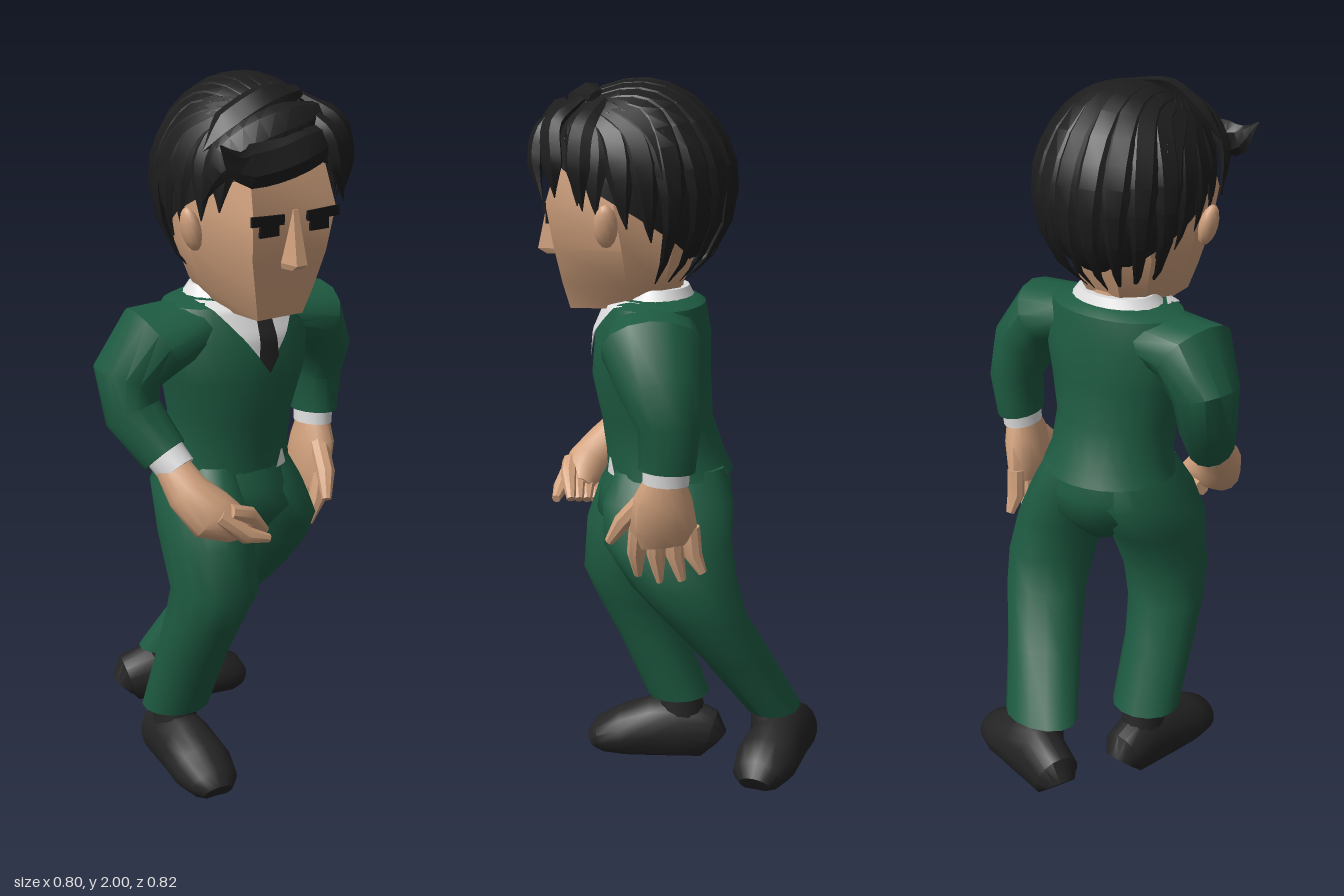
import * as THREE from 'three';
import { toCreasedNormals } from 'three/addons/utils/BufferGeometryUtils.js';

const V = (x, y, z) => new THREE.Vector3(x, y, z);
const mat = (name, color, side = THREE.FrontSide) => {
  const m = new THREE.MeshStandardMaterial({ color, side });
  m.name = name;
  return m;
};

// Skin rings of points (wound x to z, running downwards) into a surface
function skinRings(rings, crease = 0.7, caps = true) {
  const n = rings[0].length, pos = [], idx = [];
  rings.forEach(r => r.forEach(p => pos.push(p.x, p.y, p.z)));
  for (let i = 0; i < rings.length - 1; i++) {
    for (let j = 0; j < n; j++) {
      const a = i * n + j, b = i * n + (j + 1) % n;
      idx.push(a, b, a + n, b, b + n, a + n);
    }
  }
  if (caps) [0, rings.length - 1].forEach((row, end) => {
    const c = rings[row].reduce((s, p) => s.add(p), V(0, 0, 0)).divideScalar(n);
    const k = pos.length / 3;
    pos.push(c.x, c.y, c.z);
    for (let j = 0; j < n; j++) {
      const a = row * n + j, b = row * n + (j + 1) % n;
      end ? idx.push(k, a, b) : idx.push(k, b, a);
    }
  });
  const g = new THREE.BufferGeometry();
  g.setAttribute('position', new THREE.Float32BufferAttribute(pos, 3));
  g.setIndex(idx);
  return toCreasedNormals(g, crease);
}

// Rows are [x, y, z, radiusU, radiusV]; flat rows stay horizontal, others follow the path
function loft(rows, { n = 14, hint = () => V(0, 0, 1), flat = false, crease = 0.7 } = {}) {
  const c = rows.map(r => V(r[0], r[1], r[2]));
  return skinRings(rows.map((r, i) => {
    const t = flat ? V(0, -1, 0)
      : c[Math.min(i + 1, c.length - 1)].clone().sub(c[Math.max(i - 1, 0)]).normalize();
    const v = hint(c[i]);
    v.addScaledVector(t, -v.dot(t)).normalize();
    const u = v.clone().cross(t);
    return Array.from({ length: n }, (_, j) => {
      const a = j / n * Math.PI * 2;
      return c[i].clone().addScaledVector(u, Math.cos(a) * r[3]).addScaledVector(v, Math.sin(a) * r[4]);
    });
  }), crease);
}

const torsoRows = [
  [0, 1.42, 0.06, 0.13, 0.10], [0, 1.40, 0.065, 0.20, 0.135], [0, 1.32, 0.075, 0.235, 0.16],
  [0, 1.20, 0.08, 0.21, 0.165], [0, 1.08, 0.065, 0.178, 0.155], [0, 0.98, 0.042, 0.178, 0.165],
  [0, 0.925, 0.028, 0.195, 0.176]];

// Depth of the chest at a given x and y
function chestZ(x, y) {
  let i = 0;
  while (i < torsoRows.length - 2 && y < torsoRows[i + 1][1]) i++;
  const [a, b] = [torsoRows[i], torsoRows[i + 1]];
  const k = (a[1] - y) / (a[1] - b[1]), mix = q => a[q] + (b[q] - a[q]) * k;
  return mix(2) + mix(4) * Math.sqrt(Math.max(0, 1 - (x / mix(3)) ** 2));
}

// Thin cloth panel lying on the chest
function panel(top, bottom, xc, halfWidth, lift) {
  const g = new THREE.PlaneGeometry(1, 1, 8, 12), p = g.attributes.position;
  for (let i = 0; i < p.count; i++) {
    const t = 0.5 - p.getY(i), x = xc + p.getX(i) * 2 * halfWidth(t), y = top + (bottom - top) * t;
    p.setXYZ(i, x, y, chestZ(x, y) + lift);
  }
  g.computeVertexNormals();
  return g;
}

export function createModel() {
  const root = new THREE.Group();
  const green = mat('suitGreen', 0x1e5b42), skin = mat('skin', 0xd2a27e);
  const white = mat('shirtWhite', 0xdedede, THREE.DoubleSide), black = mat('shoeBlack', 0x242425);
  const hairMat = mat('hairBlack', 0x1d1d1e, THREE.DoubleSide), dark = mat('eyeDark', 0x17171a);
  const add = (name, geo, m, parent = root) => {
    const mesh = new THREE.Mesh(geo, m);
    mesh.name = name;
    parent.add(mesh);
    return mesh;
  };

  // Jacket, shirt front, tie
  add('jacket', loft(torsoRows, { n: 28, flat: true }), green);
  add('collar', loft([[0, 1.445, 0.06, 0.115, 0.085], [0, 1.395, 0.065, 0.155, 0.115]], { n: 20, flat: true }), white);
  add('shirtFront', panel(1.415, 1.235, 0, t => 0.14 * (1 - t), 0.007), white);
  add('tie', panel(1.4, 1.225, 0, t => t < 0.75 ? 0.022 + t * 0.012 : 0.124 * (1 - t), 0.014), black);
  add('shirtHem', panel(0.975, 0.927, 0.088, t => 0.004 + 0.02 * t, 0.006), white);

  // Trousers: hips blend into the tops of both legs
  add('hips', loft([[0, 0.96, 0.035, 0.17, 0.16], [0, 0.88, 0.04, 0.195, 0.185],
    [0.01, 0.81, 0.05, 0.19, 0.185], [0.015, 0.75, 0.055, 0.12, 0.13], [0.02, 0.70, 0.05, 0.05, 0.07]],
  { n: 20, flat: true, crease: 1.2 }), green);
  add('rightTrouserLeg', loft([[-0.085, 0.95, 0.045, 0.085, 0.14], [-0.10, 0.86, 0.06, 0.115, 0.178],
    [-0.112, 0.75, 0.11, 0.122, 0.165],
    [-0.11, 0.60, 0.155, 0.122, 0.13], [-0.13, 0.50, 0.13, 0.11, 0.115], [-0.142, 0.38, 0.085, 0.103, 0.10],
    [-0.148, 0.19, 0.01, 0.10, 0.092]], { flat: true, crease: 1 }), green);
  add('leftTrouserLeg', loft([[0.085, 0.95, 0.025, 0.085, 0.15], [0.105, 0.86, 0.03, 0.115, 0.185],
    [0.145, 0.75, 0.03, 0.13, 0.18], [0.168, 0.64, -0.015, 0.12, 0.15], [0.155, 0.54, -0.07, 0.118, 0.12],
    [0.095, 0.40, -0.16, 0.112, 0.10], [0.025, 0.225, -0.265, 0.115, 0.082]], { flat: true, crease: 1 }), green);

  // Shoes: heel to toe, with the sole flattened
  const shoe = (name, x, y, z, turn, ankleX, ankleZ) => {
    const group = new THREE.Group();
    group.name = name;
    const rows = [[-0.183, 0.08, 0.045], [-0.165, 0.13, 0.068], [-0.08, 0.175, 0.075], [0, 0.165, 0.083],
      [0.09, 0.13, 0.09], [0.16, 0.09, 0.073], [0.185, 0.05, 0.045]];
    const g = loft(rows.map(([d, h, w]) => [0, h * 0.4, d, w, h * 0.6]), { n: 16, hint: () => V(0, 1, 0) });
    const p = g.attributes.position;
    for (let i = 0; i < p.count; i++) p.setY(i, Math.max(0, p.getY(i)));
    add('shoeUpper', toCreasedNormals(g, 0.7), black, group);
    add('ankle', loft([[ankleX, 0.215, ankleZ, 0.055, 0.055], [ankleX * 0.6, 0.08, ankleZ, 0.065, 0.085]],
      { flat: true }), black, group);
    group.position.set(x, y, z);
    group.rotation.y = turn;
    root.add(group);
  };
  shoe('rightShoe', -0.155, 0, 0.083, -0.1, 0, -0.08);
  shoe('leftShoe', 0.065, 0.045, -0.28, 1.2, -0.035, -0.035);

  // Sleeves and cuffs
  add('leftSleeve', loft([[0.13, 1.34, 0.07, 0.07, 0.12], [0.25, 1.315, 0.07, 0.10, 0.135],
    [0.312, 1.22, 0.045, 0.087, 0.11], [0.328, 1.12, 0.02, 0.072, 0.085], [0.322, 1.005, 0.027, 0.06, 0.077]]), green);
  add('rightSleeve', loft([[-0.13, 1.34, 0.07, 0.07, 0.12], [-0.25, 1.315, 0.07, 0.10, 0.135],
    [-0.315, 1.22, 0.04, 0.087, 0.105], [-0.31, 1.12, 0.06, 0.078, 0.085], [-0.265, 1.015, 0.145, 0.065, 0.072]]), green);
  add('leftCuff', loft([[0.322, 1.03, 0.027, 0.05, 0.065], [0.318, 0.968, 0.03, 0.05, 0.063]]), white);
  add('rightCuff', loft([[-0.27, 1.03, 0.14, 0.055, 0.06], [-0.25, 0.98, 0.185, 0.052, 0.058]]), white);

  // Hands: palm plus tapering fingers
  const finger = (name, a, b, c, r) => add(name, loft([[...a, r, r], [...b, r, r], [...c, r * 0.5, r * 0.5]], { n: 8 }), skin);
  add('leftPalm', loft([[0.32, 0.99, 0.03, 0.042, 0.05], [0.312, 0.92, 0.038, 0.05, 0.08],
    [0.298, 0.84, 0.038, 0.045, 0.092], [0.288, 0.79, 0.03, 0.026, 0.085]]), skin);
  [0.07, 0.022, -0.025, -0.07].forEach((d, i) => finger('leftFinger', [0.294, 0.84, 0.035 + d],
    [0.284 - d * 0.1, 0.76, 0.035 + d * 1.1], [0.272 - d * 0.3, [0.69, 0.675, 0.685, 0.71][i], 0.02 + d * 1.25], 0.025));
  finger('leftThumb', [0.30, 0.92, 0.085], [0.28, 0.85, 0.145], [0.255, 0.785, 0.185], 0.027);
  add('rightPalm', loft([[-0.262, 1.0, 0.165, 0.046, 0.046], [-0.245, 0.93, 0.225, 0.06, 0.06],
    [-0.205, 0.875, 0.275, 0.072, 0.066], [-0.15, 0.845, 0.295, 0.055, 0.055], [-0.11, 0.83, 0.30, 0.035, 0.04]]), skin);
  [0, 1, 2, 3].forEach(i => finger('rightFinger', [-0.18, 0.89 - i * 0.024, 0.325 - i * 0.03],
    [-0.115, 0.868 - i * 0.02, 0.325 - i * 0.025], [-0.056 - i * 0.012, 0.81 - i * 0.004, 0.315 - i * 0.022], 0.025));
  finger('rightThumb', [-0.21, 0.885, 0.32], [-0.14, 0.825, 0.35], [-0.075, 0.805, 0.36], 0.024);

  // Head with a flat face: [y, frontZ, frontHalf, sideHalf, sideZ, backZ, backHalf]
  const headRows = [[1.86, 0.30, 0.11, 0.17, 0.12, -0.06, 0.09], [1.68, 0.355, 0.13, 0.195, 0.17, -0.09, 0.10],
    [1.56, 0.335, 0.117, 0.18, 0.15, -0.05, 0.10], [1.46, 0.315, 0.092, 0.135, 0.14, -0.01, 0.085],
    [1.39, 0.297, 0.072, 0.085, 0.15, 0.03, 0.06]];
  add('head', skinRings(headRows.map(([y, zf, f, s, zm, zb, b]) => [V(s, y, zm), V(f, y, zf), V(-f, y, zf),
    V(-s, y, zm), V(-(s + b) * 0.52, y, (zm + zb * 2) / 3), V(-b * 0.7, y, zb), V(b * 0.7, y, zb),
    V((s + b) * 0.52, y, (zm + zb * 2) / 3)]), 0.5), skin);
  add('neck', loft([[0, 1.48, 0.08, 0.085, 0.085], [0, 1.38, 0.06, 0.085, 0.08]], { flat: true }), skin);
  add('nose', skinRings([[1.685, 0.013, 0.358], [1.545, 0.028, 0.388], [1.53, 0.024, 0.365]].map(([y, w, z]) =>
    [V(w, y, 0.32), V(w * 0.6, y, z), V(-w * 0.6, y, z), V(-w, y, 0.32)]), 0.3), skin);
  for (const s of [1, -1]) {
    const ear = add('ear', new THREE.SphereGeometry(1, 12, 8), skin);
    ear.scale.set(0.024, 0.06, 0.032);
    ear.position.set(s * 0.207, 1.63, 0.19);
    ear.rotation.z = -s * 0.25;
    const brow = add('eyebrow', new THREE.BoxGeometry(0.1, 0.026, 0.009), dark);
    brow.position.set(s * 0.087, 1.667, 0.357);
    brow.rotation.z = s * 0.04;
    add('eye', new THREE.BoxGeometry(0.058, 0.034, 0.009), dark).position.set(s * 0.079, 1.641, 0.352);
  }

  // Hair cap: lower at the nape, higher over the forehead
  const hc = V(0.012, 1.725, 0.115), hr = V(0.22, 0.262, 0.25);
  const onHair = (d, k) => d.clone().normalize().multiply(hr).multiplyScalar(k).add(hc);
  const cap = [];
  for (let i = 0; i <= 12; i++) cap.push(Array.from({ length: 32 }, (_, j) => {
    const a = j / 32 * Math.PI * 2, c = Math.sin(a);
    const low = 1.66 + c * (c > 0 ? 0.145 : 0.155);
    const phi = 0.001 + Math.acos((low - hc.y) / hr.y) * i / 12;
    return onHair(V(Math.cos(a) * Math.sin(phi), Math.cos(phi), c * Math.sin(phi)), 1);
  }));
  add('hairCap', skinRings(cap, 0.9, false), hairMat);

  // Locks: flattened tapering strands that follow the head
  const lock = (pts, width, thick) => {
    const rows = pts.map((p, i) => {
      const t = i / (pts.length - 1), w = Math.max(0.04, Math.min(1, 0.45 + t * 2, (1 - t) * 3));
      return [p.x, p.y, p.z, width * w, thick * w];
    });
    add('hairLock', loft(rows, { n: 6, hint: c => c.clone().sub(hc).divide(hr), crease: 0.6 }), hairMat);
  };
  const sweep = (dirs, width, thick, flare) => lock(new THREE.CatmullRomCurve3(dirs).getPoints(12)
    .map((d, i) => onHair(d, 1.005 + flare * (i / 12) ** 4)), width, thick);
  for (let i = -4; i <= 4; i++) {
    const a = i * 0.3, s = Math.sin(a), c = Math.cos(a), drop = -1.2 - 0.15 * (i & 1);
    sweep([V(i * 0.13, 0.85, 0.55), V(i * 0.17, 0.9, -0.3 * c), V(s * 0.95, 0.2, -c),
      V(s * 0.68, drop, -c * 0.68).normalize()], 0.045, 0.018, 0.13);
  }
  for (const s of [1, -1]) {
    [[-0.5, -0.75], [-0.2, -0.6], [0.08, -0.4], [0.42, -0.3], [0.72, -0.2]].forEach(([z, y], i) =>
      sweep([V(s * 0.35, 0.85, 0.5 + i * 0.06), V(s * 0.8, 0.5, z * 0.7 + 0.15), V(s, y, z).normalize()], 0.047, 0.02, 0.03));
  }

  // Fringe: swept across the brow on the right, hanging on the left
  const strand = (pts, w, t) => lock(new THREE.CatmullRomCurve3(pts.map(p => V(...p))).getPoints(12), w, t);
  strand([[0.13, 1.87, 0.34], [0.03, 1.85, 0.38], [-0.09, 1.82, 0.38], [-0.18, 1.82, 0.37], [-0.24, 1.875, 0.37]], 0.055, 0.022);
  strand([[0.13, 1.92, 0.30], [0, 1.91, 0.34], [-0.12, 1.87, 0.32], [-0.19, 1.80, 0.285], [-0.21, 1.70, 0.24]], 0.055, 0.022);
  strand([[0.10, 1.96, 0.22], [-0.03, 1.955, 0.27], [-0.14, 1.90, 0.26], [-0.21, 1.84, 0.25]], 0.05, 0.022);
  strand([[0.06, 1.93, 0.30], [0.10, 1.87, 0.365], [0.115, 1.79, 0.38], [0.15, 1.69, 0.36]], 0.035, 0.02);
  strand([[0.09, 1.95, 0.26], [0.15, 1.89, 0.33], [0.18, 1.79, 0.33], [0.175, 1.70, 0.325]], 0.04, 0.022);
  strand([[0.12, 1.95, 0.2], [0.195, 1.88, 0.25], [0.22, 1.78, 0.26], [0.21, 1.67, 0.25]], 0.04, 0.022);
  return root;
}
